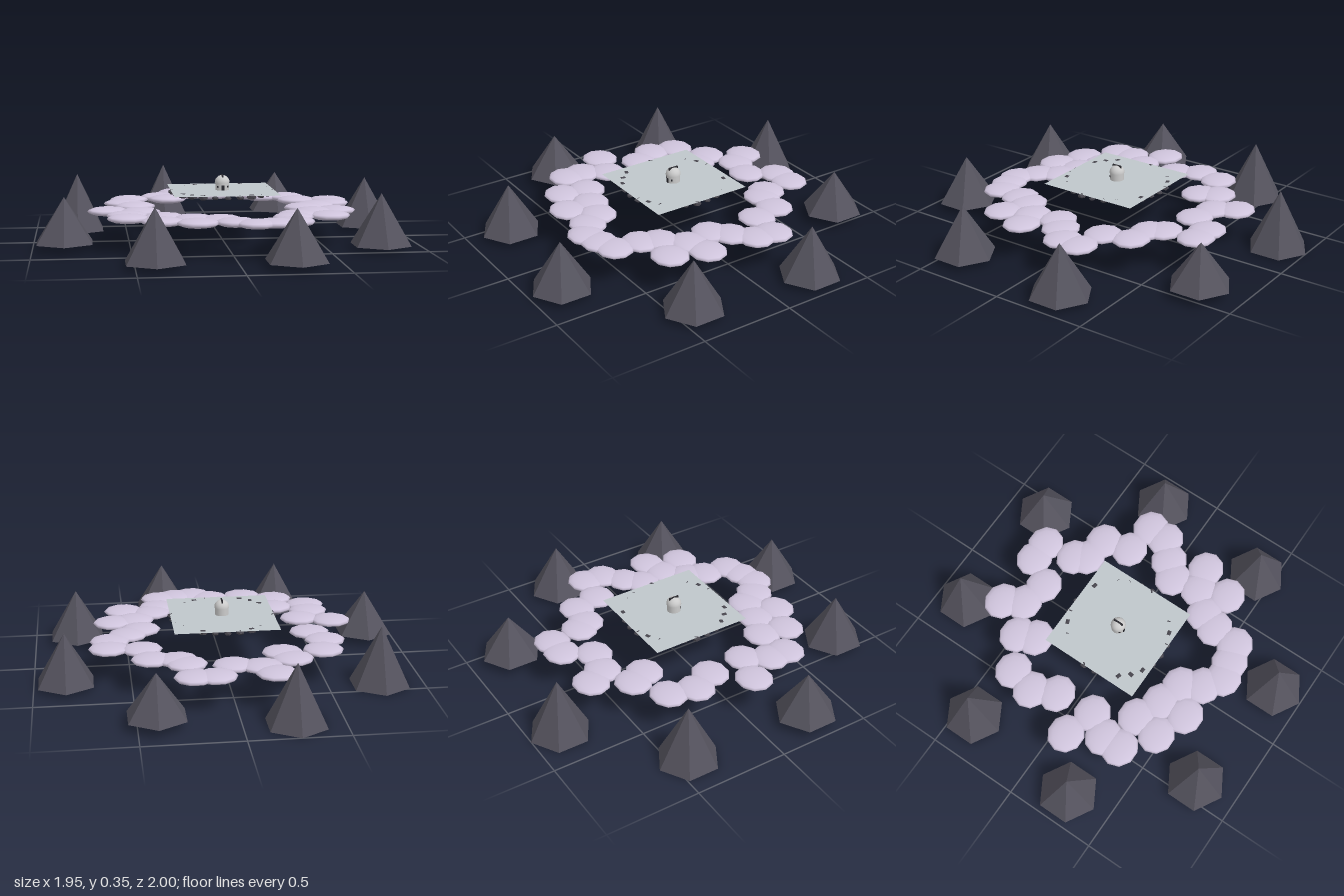
import * as THREE from 'three';

const paint = (color, opts = {}) => new THREE.MeshStandardMaterial({ color, ...opts });

export function createModel() {
  const model = new THREE.Group();
  const rock = paint(0x55535e, { flatShading: true });
  const cloudMat = paint(0xcfc4dc);
  const stone = paint(0x48464e, { flatShading: true });
  const wall = paint(0xc4c0c0);
  const dark = paint(0x2a2a30);
  const add = (name, geo, mat, x, y, z, parent = model) => {
    const mesh = new THREE.Mesh(geo, mat);
    mesh.name = name;
    mesh.position.set(x, y, z);
    parent.add(mesh);
    return mesh;
  };

  // Outer ring of six-sided peaks: x, z, height, all centred on one level
  [
    [-0.26, -0.84, 0.315], [0.405, -0.775, 0.225], [0.835, -0.26, 0.27], [0.77, 0.405, 0.265],
    [0.26, 0.835, 0.255], [-0.405, 0.77, 0.265], [-0.835, 0.255, 0.235], [-0.77, -0.41, 0.315],
  ].forEach(([x, z, h]) => add('peak', new THREE.ConeGeometry(0.162, h, 6), rock, x, 0.158, z));

  // Ring of flattened cloud puffs: x, z
  const puff = new THREE.SphereGeometry(1, 10, 8);
  [
    [-0.2, -0.62], [0.1, -0.625], [0.205, -0.625], [0, -0.49], [-0.14, -0.52], [-0.31, -0.44],
    [-0.27, -0.35], [-0.485, -0.34], [-0.52, -0.2], [-0.46, -0.075], [-0.61, 0.09], [-0.445, 0.14],
    [-0.515, 0.26], [-0.515, 0.36], [-0.33, 0.34], [-0.35, 0.48], [-0.19, 0.4], [-0.18, 0.545],
    [-0.055, 0.435], [0.01, 0.535], [0.105, 0.6], [0.2, 0.58], [0.295, 0.55], [0.315, 0.41],
    [0.355, 0.32], [0.51, 0.365], [0.455, 0.215], [0.575, 0.185], [0.43, 0.065], [0.505, -0.01],
    [0.6, -0.095], [0.61, -0.2], [0.44, -0.225], [0.4, -0.37], [0.23, -0.45], [0.27, -0.39],
  ].forEach(([x, z]) => add('cloudPuff', puff, cloudMat, x, 0.175, z).scale.set(0.107, 0.024, 0.097));

  // Thin square platform
  const slab = add('platform', new THREE.PlaneGeometry(0.55, 0.55),
    paint(0xbfc6ca, { side: THREE.DoubleSide }), 0, 0.268, 0);
  slab.rotation.x = -Math.PI / 2;

  // Circle of pebbles under the rim; the larger ones break the surface
  const pebble = new THREE.DodecahedronGeometry(1);
  const large = [2, 11, 15, 22, 23, 24];
  for (let i = 0; i < 26; i++) {
    const a = (i / 26) * Math.PI * 2;
    const r = large.includes(i) ? 0.026 : 0.019 + 0.003 * Math.sin(i * 2.4);
    const p = add('pebble', pebble, stone, 0.27 * Math.sin(a), 0.258, 0.27 * Math.cos(a));
    p.scale.set(r, r * 0.55, r);
    p.rotation.y = i * 1.7;
  }

  // Small domed observatory
  const hut = new THREE.Group();
  hut.name = 'observatory';
  hut.position.y = 0.265;
  model.add(hut);
  add('wall', new THREE.CylinderGeometry(0.037, 0.037, 0.042, 16), wall, 0, 0.021, 0, hut);
  add('dome', new THREE.SphereGeometry(0.04, 20, 10, 0, Math.PI * 2, 0, Math.PI / 2),
    paint(0xcccccc, { side: THREE.DoubleSide }), 0, 0.042, 0, hut);
  add('domeSlit', new THREE.BoxGeometry(0.009, 0.016, 0.055), dark, 0, 0.075, 0, hut);
  add('door', new THREE.BoxGeometry(0.014, 0.026, 0.006), dark, 0, 0.016, 0.036, hut);
  for (const side of [-1, 1]) {
    const w = add('window', new THREE.BoxGeometry(0.009, 0.01, 0.005), dark,
      side * 0.026, 0.022, 0.026, hut);
    w.rotation.y = side * Math.PI / 4;
  }
  return model;
}
